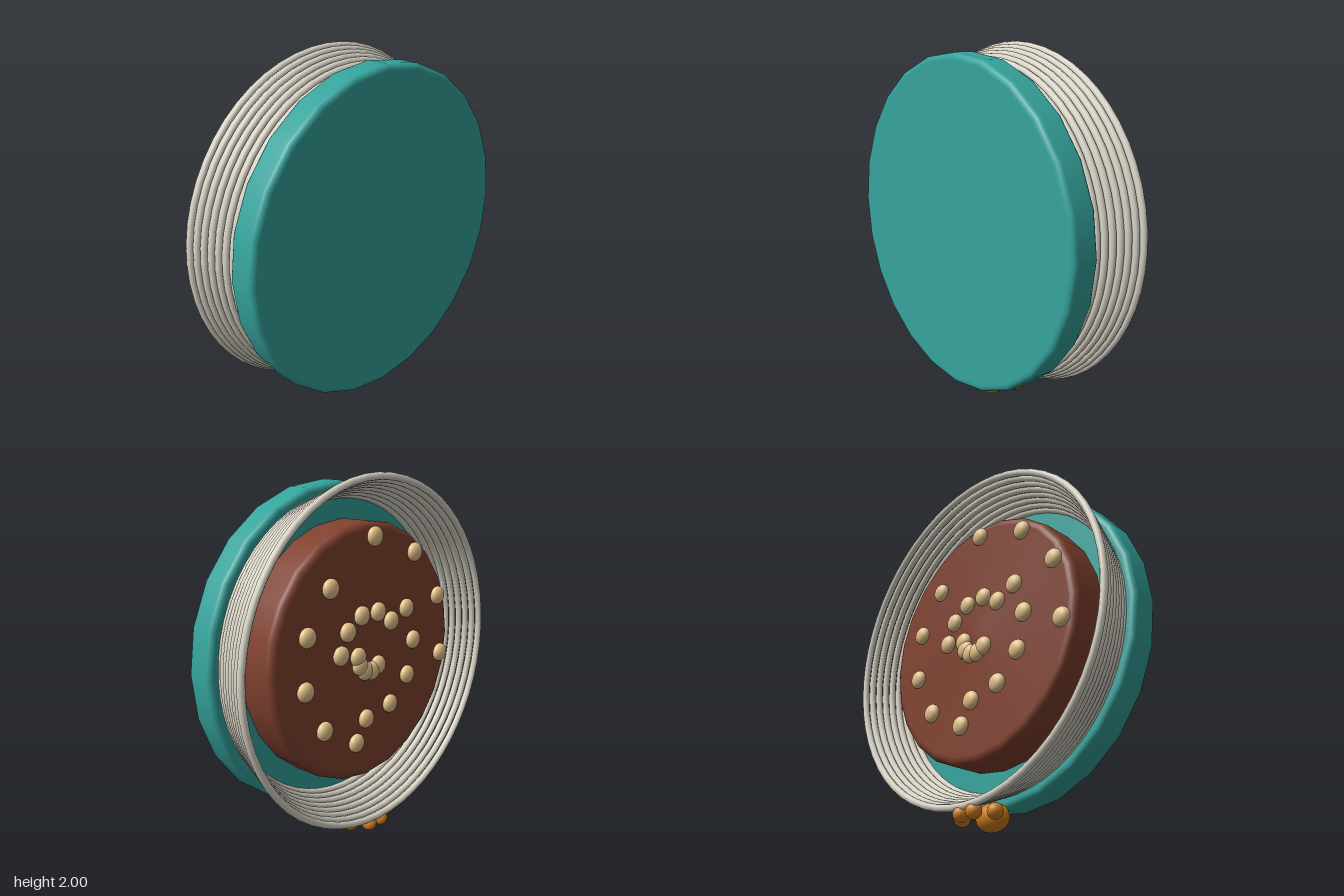
import * as THREE from 'three';

const CENTER_Y = 1.043;

const paint = (color) => new THREE.MeshStandardMaterial({ color });

// Solid 24-sided disc with a rounded rim, lying between z0 and z1
function roundedDisc(name, radius, z0, z1, bevel, material) {
  const pts = [new THREE.Vector2(0, z0), new THREE.Vector2(radius - bevel - 0.005, z0)];
  for (const [zc, start] of [[z0 + bevel, -Math.PI / 2], [z1 - bevel, 0]]) {
    for (let i = 0; i <= 4; i++) {
      const a = start + (i / 4) * Math.PI / 2;
      pts.push(new THREE.Vector2(radius - bevel + bevel * Math.cos(a), zc + bevel * Math.sin(a)));
    }
  }
  pts.push(new THREE.Vector2(radius - bevel - 0.005, z1), new THREE.Vector2(0, z1));
  const mesh = new THREE.Mesh(new THREE.LatheGeometry(pts, 24).rotateX(Math.PI / 2), material);
  mesh.name = name;
  mesh.position.y = CENTER_Y;
  return mesh;
}

function ellipsoid(name, position, radii, material) {
  const mesh = new THREE.Mesh(new THREE.SphereGeometry(1, 20, 14), material);
  mesh.name = name;
  mesh.position.set(...position);
  mesh.scale.set(...radii);
  return mesh;
}

export function createModel() {
  const model = new THREE.Group();
  model.name = 'coiledBowl';
  const teal = paint(0x35a39c), cream = paint(0xd9d5c7), brown = paint(0x80412f);
  const tan = paint(0xe6c58c), orange = paint(0xd07f1e);

  // Base plate and the filling inside the wall
  model.add(roundedDisc('basePlate', 0.91, 0.07, 0.235, 0.03, teal));
  model.add(roundedDisc('filling', 0.71, -0.14, 0.1, 0.04, brown));

  // Wall of stacked coils, widening towards the back
  const wall = new THREE.Group();
  wall.name = 'coilWall';
  for (let i = 0; i < 8; i++) {
    const coil = new THREE.Mesh(new THREE.TorusGeometry(0.835 + 0.0146 * i, 0.02, 10, 56), cream);
    coil.name = 'coil';
    coil.position.set(0, CENTER_Y, 0.066 - 0.0385 * i);
    wall.add(coil);
  }
  model.add(wall);

  // Seeds scattered by the golden angle over five radii
  const seeds = new THREE.Group();
  seeds.name = 'seeds';
  for (let i = 0; i < 24; i++) {
    const a = i * 2.4, r = 0.097 + 0.133 * (i % 5);
    seeds.add(ellipsoid('seed', [r * Math.cos(a), CENTER_Y + r * Math.sin(a), -0.15],
      [0.053, 0.053, 0.032], tan));
  }
  model.add(seeds);

  // Paw under the wall: one pad and four toes
  const paw = new THREE.Group();
  paw.name = 'paw';
  paw.add(ellipsoid('pawPad', [0, 0.075, -0.018], [0.1, 0.075, 0.073], orange));
  for (const side of [-1, 1]) {
    paw.add(ellipsoid('outerToe', [side * 0.12, 0.073, -0.115], [0.042, 0.042, 0.042], orange));
    paw.add(ellipsoid('innerToe', [side * 0.047, 0.073, -0.19], [0.042, 0.042, 0.042], orange));
  }
  model.add(paw);

  return model;
}
